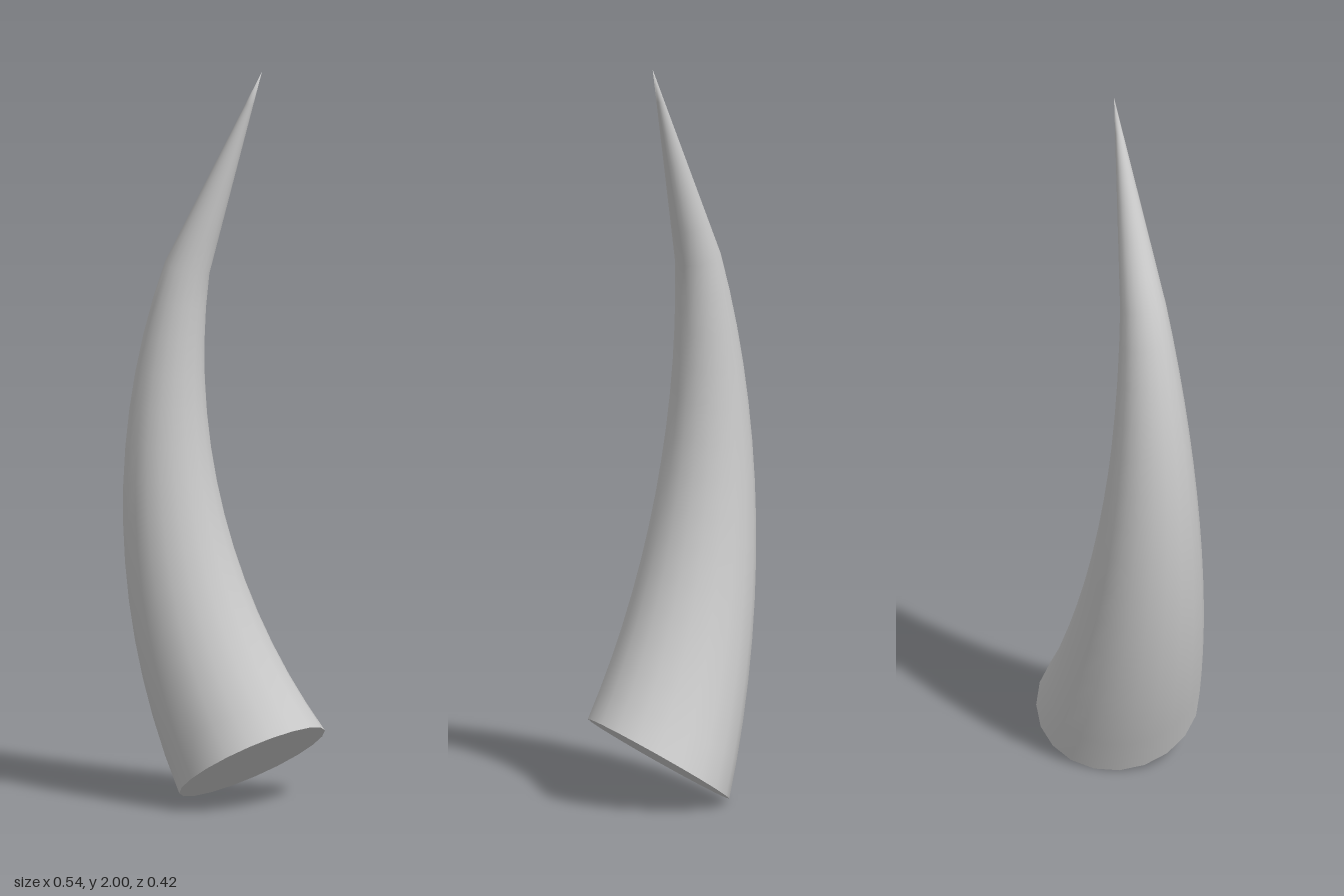
import * as THREE from 'three';

const SIDES = 20, RINGS = 14;
const BEND = 1.89;                                   // radius of the centre arc
const CENTRE = new THREE.Vector2(1.741, 1.016);
const START = THREE.MathUtils.degToRad(-28.5), END = THREE.MathUtils.degToRad(13.5);
const BASE_R = 0.212, NECK_R = 0.062;

// One cross-section of the bent shaft, t = 0 at the base and 1 at the neck
function ring(t) {
  const a = THREE.MathUtils.lerp(START, END, t);
  const r = THREE.MathUtils.lerp(BASE_R, NECK_R, t);
  const centre = new THREE.Vector3(CENTRE.x - BEND * Math.cos(a), CENTRE.y + BEND * Math.sin(a), 0);
  const side = new THREE.Vector3(Math.cos(a), -Math.sin(a), 0);
  const along = new THREE.Vector3(Math.sin(a), Math.cos(a), 0);
  const skew = 0.06 * (1 - t);                       // slanted cut at the base, fading upward
  const points = [];
  for (let j = 0; j < SIDES; j++) {
    const q = (j / SIDES) * Math.PI * 2;
    const p = centre.clone().addScaledVector(side, r * Math.cos(q)).addScaledVector(along, skew * Math.sin(q));
    p.z = r * Math.sin(q);
    points.push(p);
  }
  return { centre, points };
}

function makeMesh(name, points, index, material) {
  const geometry = new THREE.BufferGeometry().setFromPoints(points);
  geometry.setIndex(index);
  geometry.computeVertexNormals();
  const mesh = new THREE.Mesh(geometry, material);
  mesh.name = name;
  return mesh;
}

export function createModel() {
  const group = new THREE.Group();
  group.name = 'horn';
  const material = new THREE.MeshStandardMaterial({ color: 0xcccccc });

  // Curved shaft, closed by a straight pointed tip
  const points = [], index = [];
  for (let i = 0; i <= RINGS; i++) points.push(...ring(i / RINGS).points);
  const tip = new THREE.Vector3(0.107, 2, 0);
  const neck = points.slice(-SIDES);
  for (let k = 1; k < 6; k++) {
    for (const p of neck) points.push(p.clone().lerp(tip, k / 6));
  }
  const rows = points.length / SIDES;
  points.push(tip);
  for (let i = 0; i < rows; i++) {
    for (let j = 0; j < SIDES; j++) {
      const a = i * SIDES + j, c = i * SIDES + (j + 1) % SIDES;
      if (i === rows - 1) index.push(a, rows * SIDES, c);
      else index.push(a, a + SIDES, c, c, a + SIDES, c + SIDES);
    }
  }
  group.add(makeMesh('hornShaft', points, index, material));

  // Flat cap over the slanted base
  const base = ring(0), capIndex = [];
  for (let j = 0; j < SIDES; j++) capIndex.push(SIDES, j, (j + 1) % SIDES);
  group.add(makeMesh('baseCap', [...base.points, base.centre], capIndex, material));

  return group;
}
